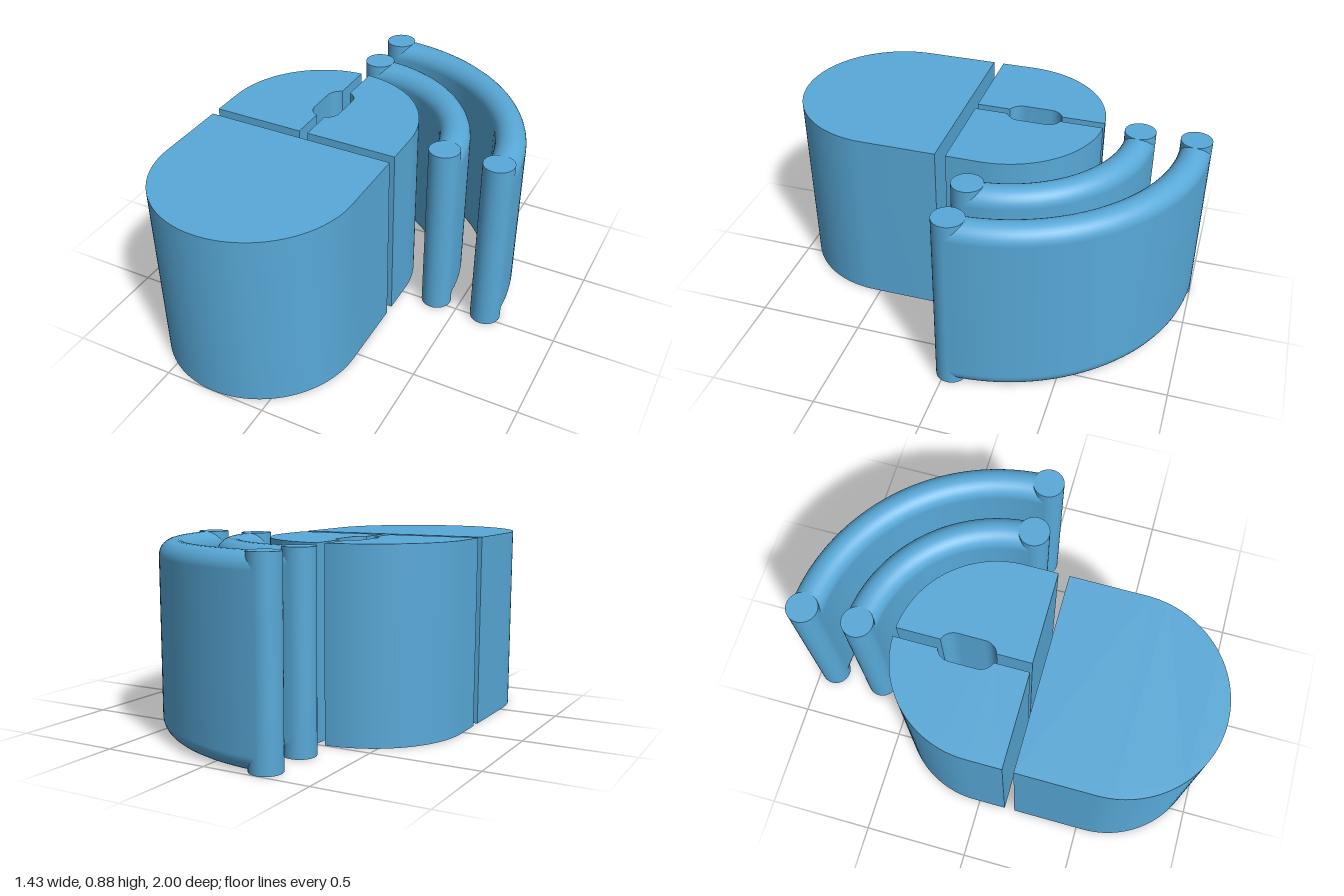
import * as THREE from 'three';
import { toCreasedNormals } from 'three/addons/utils/BufferGeometryUtils.js';

const HEIGHT = 0.88;
const AXIS_X = -0.255; // centre line of the body
const BODY_R = 0.465;
const FRONT_Z = -0.03; // centre of the button-end curve and of the wave arcs
const REAR_Z = 0.535; // centre of the palm-end curve

// Points [x, z] along an arc, angle measured from +x towards -z
function arc(cx, cz, r, from, to, steps) {
  return Array.from({ length: steps + 1 }, (_, i) => {
    const a = from + ((to - from) * i) / steps;
    return [cx + r * Math.cos(a), cz - r * Math.sin(a)];
  });
}

// Upright slab with the given plan outline
function slab(name, outline, material) {
  const shape = new THREE.Shape(outline.map(([x, z]) => new THREE.Vector2(x, -z)));
  const geometry = new THREE.ExtrudeGeometry(shape, { depth: HEIGHT, bevelEnabled: false });
  geometry.rotateX(-Math.PI / 2);
  const mesh = new THREE.Mesh(toCreasedNormals(geometry, 0.5), material);
  mesh.name = name;
  mesh.position.x = AXIS_X;
  return mesh;
}

// One button: quarter-round outside, half of the slit and wheel slot inside
function buttonOutline(side) {
  const slit = 0.021;
  const slotR = 0.0675;
  const end = Math.acos(slit / BODY_R);
  const mouth = Math.acos(slit / slotR);
  return [
    [slit, 0.13],
    [BODY_R, 0.13],
    ...arc(0, FRONT_Z, BODY_R, 0, end, 40),
    ...arc(0, -0.225, slotR, mouth, 0, 12),
    ...arc(0, -0.097, slotR, 0, -mouth, 12),
  ].map(([x, z]) => [x * side, z]);
}

// Curved wall with rounded top and bottom, closed by two upright posts
function wave(name, radius, material) {
  const group = new THREE.Group();
  group.name = name;
  group.position.set(AXIS_X, 0, FRONT_Z);
  const r = 0.073;

  const profile = [];
  for (const [y, start] of [[r, -Math.PI], [HEIGHT - r, 0]]) {
    for (let i = 0; i <= 16; i++) {
      const a = start + (Math.PI * i) / 16;
      profile.push(new THREE.Vector2(radius + r * Math.cos(a), y + r * Math.sin(a)));
    }
  }
  profile.push(profile[0].clone());
  const wall = new THREE.Mesh(
    new THREE.LatheGeometry(profile, 48, Math.PI / 2, Math.PI / 2), material);
  wall.name = name + 'Wall';
  group.add(wall);

  const postGeometry = new THREE.CylinderGeometry(r, r, HEIGHT, 40);
  for (const [x, z, label] of [[radius, 0, 'SidePost'], [0, -radius, 'BackPost']]) {
    const post = new THREE.Mesh(postGeometry, material);
    post.name = name + label;
    post.position.set(x, HEIGHT / 2, z);
    group.add(post);
  }
  return group;
}

export function createModel() {
  const model = new THREE.Group();
  model.name = 'wirelessMouseIcon';
  const blue = new THREE.MeshStandardMaterial({ color: 0x58a9d8 });
  blue.name = 'blue';

  // Palm rest
  const palm = [
    [-BODY_R, 0.18],
    ...arc(0, REAR_Z, BODY_R, Math.PI, Math.PI * 2, 72),
    [BODY_R, 0.18],
  ];
  model.add(slab('palmRest', palm, blue));

  // Buttons, mirrored about the slit
  model.add(slab('leftButton', buttonOutline(1), blue));
  model.add(slab('rightButton', buttonOutline(-1), blue));

  // Signal waves
  model.add(wave('innerWave', 0.637, blue));
  model.add(wave('outerWave', 0.896, blue));
  return model;
}
